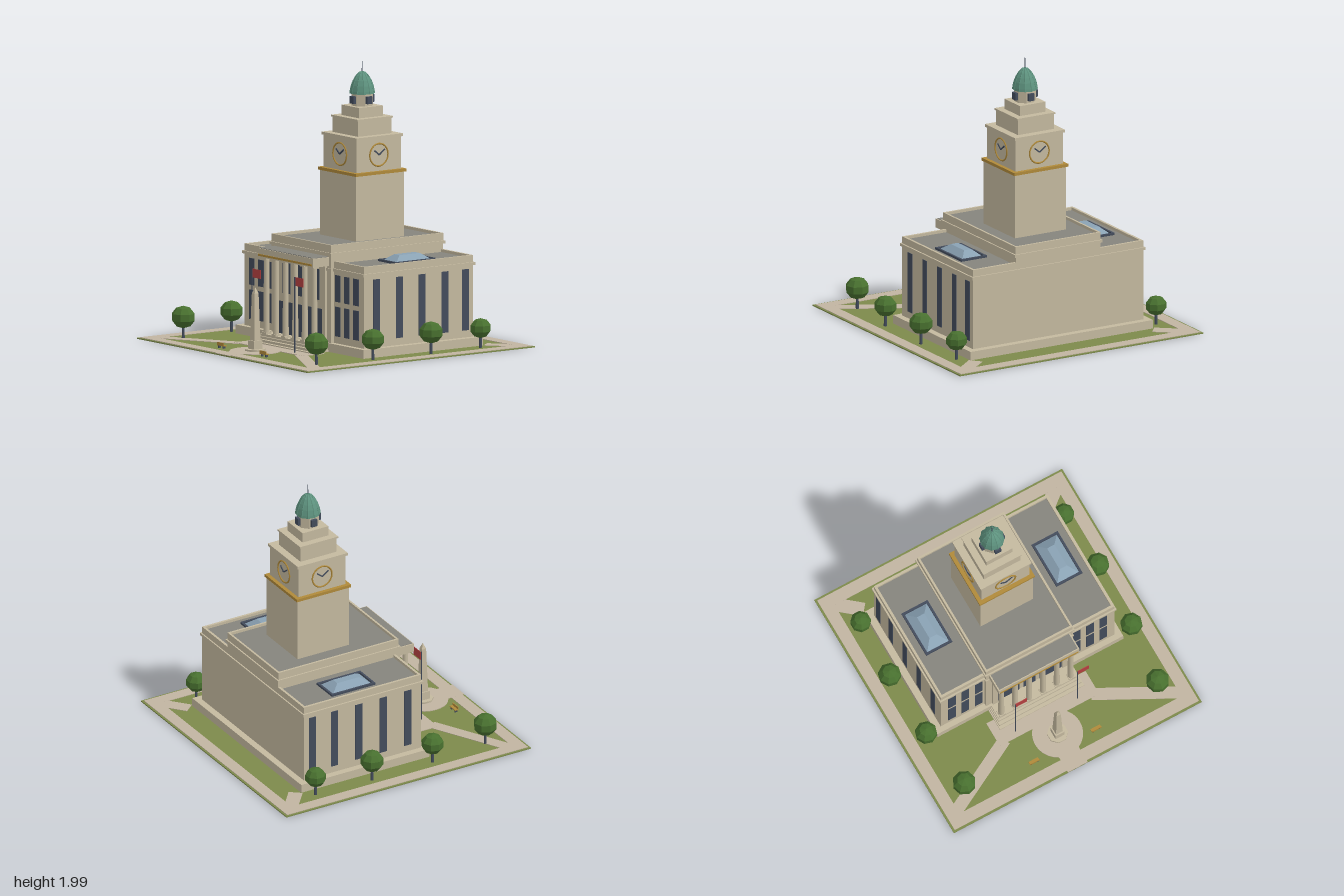
import * as THREE from 'three';

const mat = (name, color) => {
  const m = new THREE.MeshStandardMaterial({ color });
  m.name = name;
  return m;
};

export function createModel() {
  const stone = mat('stone', 0xc4b99f), paving = mat('paving', 0xc1b4a1), lawn = mat('lawn', 0x7d8a4b),
    slate = mat('roof grey', 0x85847d), navy = mat('dark glass', 0x434c5c), gold = mat('gold', 0xb08a3a),
    copper = mat('green copper', 0x5f9480), glass = mat('skylight glass', 0x8aa2b4),
    red = mat('flag red', 0xb54040), leaf = mat('leaf green', 0x48702f);
  for (const m of [copper, leaf, stone]) m.flatShading = m !== stone;

  const root = new THREE.Group();
  root.name = 'civicHall';
  const add = (name, geo, material, x = 0, y = 0, z = 0, parent = root) => {
    const m = new THREE.Mesh(geo, material);
    m.name = name;
    m.position.set(x, y, z);
    parent.add(m);
    return m;
  };
  const group = (name, x = 0, y = 0, z = 0, parent = root) => {
    const g = new THREE.Group();
    g.name = name;
    g.position.set(x, y, z);
    parent.add(g);
    return g;
  };
  // box given by its limits on each axis
  const block = (name, material, x0, x1, y0, y1, z0, z1, parent = root) =>
    add(name, new THREE.BoxGeometry(x1 - x0, y1 - y0, z1 - z0), material,
      (x0 + x1) / 2, (y0 + y1) / 2, (z0 + z1) / 2, parent);
  // upright rectangular ring with half sizes hx, hz and wall thickness t
  const rim = (name, material, hx, hz, t, y0, y1, x, z) => {
    const rect = (Type, a, b) => new Type([[-a, -b], [a, -b], [a, b], [-a, b]].map(p => new THREE.Vector2(...p)));
    const s = rect(THREE.Shape, hx, hz);
    s.holes.push(rect(THREE.Path, hx - t, hz - t));
    const g = new THREE.ExtrudeGeometry(s, { depth: y1 - y0, bevelEnabled: false });
    g.rotateX(-Math.PI / 2);
    return add(name, g, material, x, y0, z);
  };
  // box whose top is narrowed to fractions kx, kz
  const taper = (w, h, d, kx, kz) => {
    let g = new THREE.BoxGeometry(w, h, d);
    const p = g.attributes.position;
    for (let i = 0; i < p.count; i++)
      if (p.getY(i) > 0) { p.setX(i, p.getX(i) * kx); p.setZ(i, p.getZ(i) * kz); }
    g = g.toNonIndexed();
    g.computeVertexNormals();
    return g;
  };

  // grounds
  block('lawn', lawn, -1, 1, 0, 0.008, -1, 1);
  rim('perimeterPath', paving, 0.985, 0.985, 0.09, 0.006, 0.012, 0, 0);
  block('entrancePath', paving, -0.08, 0.08, 0.006, 0.0125, 0.7, 1);
  block('forecourt', paving, -0.4, 0.4, 0.006, 0.0125, 0.4, 0.595);
  add('roundPlaza', new THREE.CylinderGeometry(0.18, 0.18, 0.006, 28), paving, 0, 0.0095, 0.71);
  const strip = (x0, z0, x1, z1, w) => {
    const m = add('diagonalPath', new THREE.BoxGeometry(Math.hypot(x1 - x0, z1 - z0), 0.006, w), paving,
      (x0 + x1) / 2, 0.0085, (z0 + z1) / 2);
    m.rotation.y = -Math.atan2(z1 - z0, x1 - x0);
  };
  for (const s of [-1, 1]) {
    strip(s * 0.35, 0.57, s * 0.92, 0.875, 0.09);
    strip(s * 0.93, -0.93, s * 0.73, -0.765, 0.1);
  }

  // main building with wings
  block('plinth', stone, -0.75, 0.75, 0.004, 0.07, -0.73, 0.32);
  block('wings', stone, -0.7, 0.7, 0.07, 0.58, -0.68, 0.28);
  block('wingCornice', stone, -0.712, 0.712, 0.58, 0.6, -0.69, 0.292);
  block('wingRoof', slate, -0.69, 0.69, 0.6, 0.63, -0.67, 0.27);
  rim('wingParapet', stone, 0.7, 0.48, 0.018, 0.6, 0.65, 0, -0.2);
  block('centralBlock', stone, -0.348, 0.348, 0.07, 0.69, -0.68, 0.305);
  block('centralBand', stone, -0.355, 0.355, 0.58, 0.6, -0.685, 0.312);
  block('centralCornice', stone, -0.36, 0.36, 0.69, 0.71, -0.69, 0.315);
  block('centralRoof', slate, -0.34, 0.34, 0.71, 0.745, -0.67, 0.295);
  rim('centralParapet', stone, 0.35, 0.4925, 0.015, 0.71, 0.765, 0, -0.1875);

  // windows
  for (const s of [-1, 1]) {
    for (const x of [0.396, 0.503, 0.61])
      for (const [y0, y1] of [[0.12, 0.33], [0.365, 0.555]])
        block('frontWindow', navy, s * x - 0.03, s * x + 0.03, y0, y1, 0.278, 0.284);
    for (const z of [0.17, -0.03, -0.23, -0.43, -0.61])
      block('sideWindow', navy, s * 0.701 - 0.003, s * 0.701 + 0.003, 0.12, 0.555, z - 0.029, z + 0.029);
  }
  for (const x of [-0.17, 0, 0.17]) {
    block('entranceDoor', navy, x - 0.088 + (x === 0) * 0.04, x + 0.088 - (x === 0) * 0.04, 0.07, 0.3, 0.303, 0.309);
    block('upperWindow', navy, x - 0.045, x + 0.045, 0.36, 0.585, 0.303, 0.309);
  }

  // skylights
  for (const x of [-0.525, 0.525]) {
    rim('skylightFrame', navy, 0.105, 0.178, 0.016, 0.628, 0.645, x, -0.23);
    add('skylightGlass', taper(0.18, 0.05, 0.326, 0.33, 0.55), glass, x, 0.655, -0.23);
  }

  // portico
  [[0.49, 0.02], [0.465, 0.037], [0.44, 0.054], [0.425, 0.07]].forEach(([z, y], i) =>
    block('step', stone, -0.34 + i * 0.008, 0.34 - i * 0.008, 0.004, y, 0.29, z));
  for (let i = 0; i < 6; i++) {
    const x = -0.28 + i * 0.112;
    add('column', new THREE.CylinderGeometry(0.019, 0.022, 0.525, 12), stone, x, 0.3425, 0.4);
    block('columnBase', stone, x - 0.024, x + 0.024, 0.07, 0.082, 0.376, 0.424);
    block('columnCapital', stone, x - 0.024, x + 0.024, 0.602, 0.615, 0.376, 0.424);
  }
  for (const x of [-0.28, 0.28]) block('pilaster', stone, x - 0.02, x + 0.02, 0.07, 0.615, 0.3, 0.32);
  block('entablature', stone, -0.325, 0.325, 0.615, 0.678, 0.3, 0.445);
  block('porticoRoof', slate, -0.315, 0.315, 0.676, 0.682, 0.3, 0.437);
  block('goldFrieze', gold, -0.315, 0.315, 0.624, 0.638, 0.44, 0.45);

  // tower: half width, bottom, top of each tier
  const tower = group('tower', 0, 0, -0.23);
  for (const [name, m, h, y0, y1] of [
    ['shaft', stone, 0.211, 0.7, 1.207], ['goldBand', gold, 0.222, 1.207, 1.228],
    ['clockStage', stone, 0.194, 1.228, 1.457], ['clockCornice', stone, 0.205, 1.457, 1.477],
    ['upperTier', stone, 0.148, 1.477, 1.587], ['upperCornice', stone, 0.156, 1.587, 1.599],
    ['lanternBase', stone, 0.105, 1.599, 1.672]]) block(name, m, -h, h, y0, y1, -h, h, tower);

  // four clocks and lantern openings
  for (let i = 0; i < 4; i++) {
    const side = group('towerSide', 0, 0, 0, tower);
    side.rotation.y = i * Math.PI / 2;
    const clock = group('clock', 0, 1.342, 0.196, side);
    add('clockRing', new THREE.TorusGeometry(0.08, 0.006, 6, 24), gold, 0, 0, 0, clock);
    for (const [x, y] of [[-0.04, 0.033], [0.05, 0.037]]) {
      const hand = add('clockHand', new THREE.BoxGeometry(Math.hypot(x, y), 0.009, 0.006), navy, x / 2, y / 2, 0.003, clock);
      hand.rotation.z = Math.atan2(y, x);
    }
    block('lanternOpening', navy, -0.023, 0.023, 1.69, 1.742, 0.06, 0.093, side);
  }
  const lantern = add('lantern', new THREE.CylinderGeometry(0.078, 0.078, 0.09, 8), stone, 0, 1.715, 0, tower);
  lantern.geometry = lantern.geometry.toNonIndexed();
  lantern.geometry.computeVertexNormals();
  lantern.rotation.y = Math.PI / 8;

  // ribbed dome and finial
  const profile = [[0, 1.757], [0.088, 1.757], [0.086, 1.775], [0.077, 1.815], [0.063, 1.85], [0.044, 1.882],
    [0.022, 1.905], [0, 1.912]].map(p => new THREE.Vector2(...p));
  add('dome', new THREE.LatheGeometry(profile, 12), copper, 0, 0, 0, tower);
  const ribCurve = new THREE.CatmullRomCurve3(profile.slice(1).map(p => new THREE.Vector3(p.x, p.y, 0)));
  for (let i = 0; i < 12; i++)
    add('domeRib', new THREE.TubeGeometry(ribCurve, 8, 0.003, 4), copper, 0, 0, 0, tower).rotation.y = i * Math.PI / 6;
  add('finial', new THREE.CylinderGeometry(0.002, 0.004, 0.08, 6), navy, 0, 1.945, 0, tower);

  // obelisk
  const obelisk = group('obelisk', 0, 0, 0.71);
  add('obeliskBase', new THREE.CylinderGeometry(0.075, 0.075, 0.018, 8), stone, 0, 0.016, 0, obelisk).rotation.y = Math.PI / 8;
  block('pedestal', stone, -0.036, 0.036, 0.025, 0.085, -0.036, 0.036, obelisk);
  add('obeliskShaft', taper(0.054, 0.335, 0.054, 0.63, 0.63), stone, 0, 0.2525, 0, obelisk);
  add('obeliskTip', taper(0.034, 0.04, 0.034, 0.05, 0.05), stone, 0, 0.44, 0, obelisk);

  // flags and benches
  for (const s of [-1, 1]) {
    const x = s * 0.25;
    add('flagPole', new THREE.CylinderGeometry(0.004, 0.004, 0.545, 6), navy, x, 0.2785, 0.55);
    block('flag', red, x, x + 0.094, 0.487, 0.549, 0.543, 0.547);
    block('benchSeat', gold, x - 0.038, x + 0.038, 0.025, 0.032, 0.803, 0.829);
    block('benchBack', gold, x - 0.038, x + 0.038, 0.032, 0.05, 0.826, 0.831);
    for (const d of [-0.026, 0.026]) block('benchLeg', navy, x + d - 0.004, x + d + 0.004, 0.008, 0.025, 0.807, 0.826);
  }

  // trees: x, z, crown height, crown radius
  for (const [x, z, y, r] of [[0.82, -0.655, 0.147, 0.077], [0.84, -0.205, 0.16, 0.085],
    [0.828, 0.297, 0.155, 0.082], [0.78, 0.757, 0.16, 0.087]])
    for (const s of [-1, 1]) {
      const tree = group('tree', s * x, 0, z);
      add('trunk', new THREE.CylinderGeometry(0.009, 0.012, 0.1, 6), navy, 0, 0.055, 0, tree);
      const crown = add('crown', new THREE.SphereGeometry(r, 8, 5), leaf, 0, y, 0, tree);
      crown.scale.y = 0.92;
      crown.rotation.y = z * 3;
    }
  return root;
}
